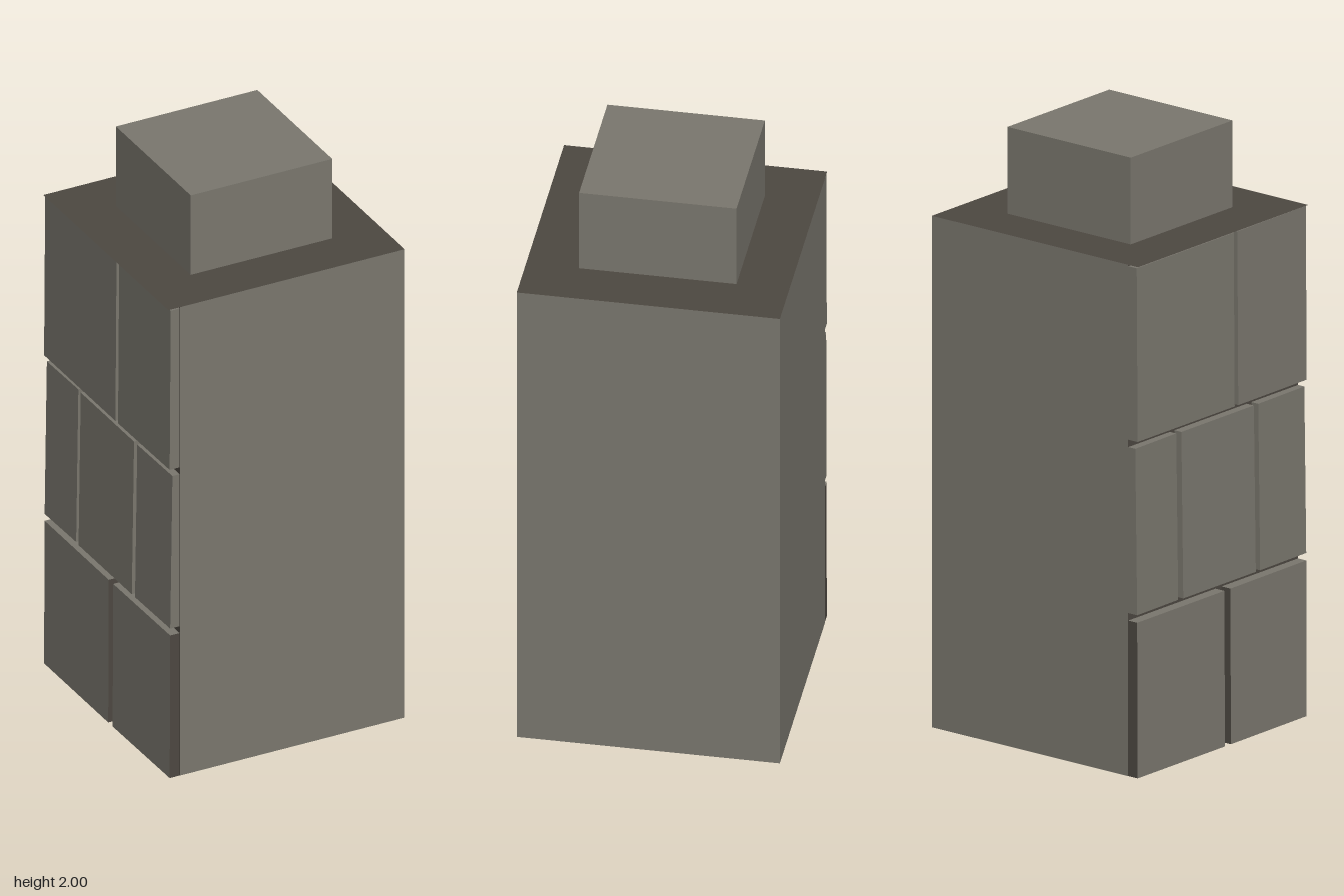
import * as THREE from 'three';

const stone = new THREE.MeshStandardMaterial({ color: 0x7a776e, side: THREE.DoubleSide });
stone.name = 'grey stone';
const mortar = new THREE.MeshStandardMaterial({ color: 0x4d4841, side: THREE.DoubleSide });
mortar.name = 'dark mortar';

const HALF = 0.426, WALL_TOP = 1.71, INNER = -0.385;

export function createModel() {
  const model = new THREE.Group();

  const add = (name, geometry, material, x, y, z) => {
    const mesh = new THREE.Mesh(geometry, material);
    mesh.name = name;
    mesh.position.set(x, y, z);
    model.add(mesh);
    return mesh;
  };

  // Hollow shaft, open underneath: three plain walls and a recessed mortar wall
  const width = HALF - INNER, mid = (HALF + INNER) / 2;
  add('frontWall', new THREE.PlaneGeometry(width, WALL_TOP), stone, mid, WALL_TOP / 2, HALF);
  add('backWall', new THREE.PlaneGeometry(width, WALL_TOP).rotateY(Math.PI), stone, mid, WALL_TOP / 2, -HALF);
  add('leftWall', new THREE.PlaneGeometry(2 * HALF, WALL_TOP).rotateY(Math.PI / 2), stone, HALF, WALL_TOP / 2, 0);
  add('mortarWall', new THREE.PlaneGeometry(2 * HALF, WALL_TOP).rotateY(-Math.PI / 2), mortar, INNER, WALL_TOP / 2, 0);

  // Thin dark shelf and the square cap on it
  add('topShelf', new THREE.PlaneGeometry(2 * HALF, 2 * HALF).rotateX(-Math.PI / 2), mortar, 0, WALL_TOP, 0);
  add('cap', new THREE.BoxGeometry(0.51, 2 - WALL_TOP, 0.51), stone, 0, (2 + WALL_TOP) / 2, 0);

  // Three courses of stone blocks: y range, joints between blocks along z,
  // outer face x at the bottom and the top of the course
  const courses = [
    { y: [0, 0.52], joints: [0.027], gap: 0.03, face: [-0.424, -0.422], ends: mortar },
    { y: [0.545, 1.1], joints: [-0.205, 0.18], gap: 0.022, face: [-0.422, -0.414], ends: stone },
    { y: [1.125, 1.705], joints: [0.07], gap: 0.018, face: [-0.424, -0.42], ends: stone },
  ];
  courses.forEach(({ y: [y0, y1], joints, gap, face, ends }, row) => {
    const stops = [-HALF - gap / 2 + 0.001, ...joints, HALF + gap / 2 - 0.001];
    for (let i = 0; i + 1 < stops.length; i++) {
      const z0 = stops[i] + gap / 2, z1 = stops[i + 1] - gap / 2;
      const geometry = new THREE.BoxGeometry(1, y1 - y0, z1 - z0);
      const p = geometry.attributes.position;
      for (let v = 0; v < p.count; v++) {
        // Lean the outer face slightly, alternating from block to block
        const outer = face[p.getY(v) > 0 ? 1 : 0] + ((i + row) % 2 ? 0.003 : 0) * (p.getZ(v) > 0 ? 1 : 0);
        p.setX(v, p.getX(v) > 0 ? INNER : outer);
      }
      geometry.computeVertexNormals();
      add('stoneBlock', geometry, [stone, stone, stone, stone, ends, ends], 0, (y0 + y1) / 2, (z0 + z1) / 2);
    }
  });

  return model;
}
